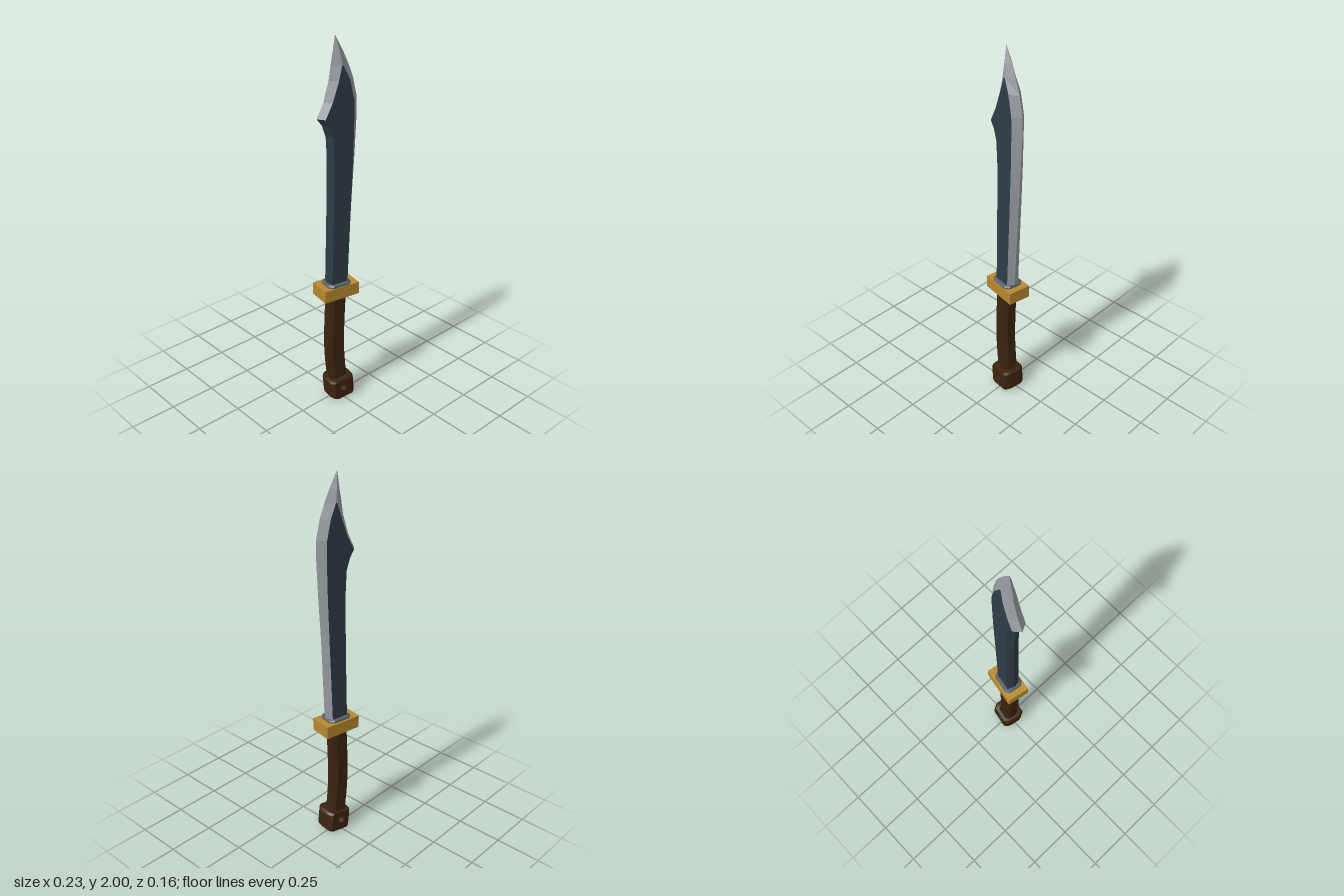
import * as THREE from 'three';
import { toCreasedNormals } from 'three/addons/utils/BufferGeometryUtils.js';

const mat = (name, color) => Object.assign(new THREE.MeshStandardMaterial({ color }), { name });

// Skins a stack of rings (bottom to top, turning from +x to +z) into one closed solid.
// pick(ring, side) returns the material index of each strip.
function loft(rings, pick = () => 0) {
  const buckets = [[], []];
  const n = rings[0].length;
  const tri = (m, ...pts) => pts.forEach((p) => buckets[m].push(...p));
  for (let i = 0; i < rings.length - 1; i++) {
    for (let j = 0; j < n; j++) {
      const k = (j + 1) % n;
      const a = rings[i][j], b = rings[i][k], c = rings[i + 1][k], d = rings[i + 1][j];
      tri(pick(i, j), a, d, c);
      tri(pick(i, j), a, c, b);
    }
  }
  const top = rings[rings.length - 1];
  for (let j = 1; j < n - 1; j++) {
    tri(0, rings[0][0], rings[0][j], rings[0][j + 1]);
    tri(0, top[0], top[j + 1], top[j]);
  }
  const geo = new THREE.BufferGeometry();
  geo.setAttribute('position', new THREE.Float32BufferAttribute(buckets.flat(), 3));
  geo.addGroup(0, buckets[0].length / 3, 0);
  geo.addGroup(buckets[0].length / 3, buckets[1].length / 3, 1);
  geo.computeVertexNormals();
  return geo;
}

// Rectangle with cut corners, as a horizontal ring
function cutRect(cx, y, w, d, cut) {
  return [[w, d - cut], [w - cut, d], [cut - w, d], [-w, d - cut],
    [-w, cut - d], [cut - w, -d], [w - cut, -d], [w, cut - d]].map(([x, z]) => [cx + x, y, z]);
}

export function createModel() {
  const darkSteel = mat('dark steel', 0x2f3c46);
  const brightSteel = mat('bright steel', 0x989da3);
  const collarSteel = mat('collar steel', 0x566069);
  const brass = mat('brass', 0xb8892f);
  const wood = mat('dark wood', 0x3c230f);

  const sword = new THREE.Group();
  sword.name = 'sword';
  const add = (name, geo, material) => {
    const mesh = new THREE.Mesh(geo, material);
    mesh.name = name;
    sword.add(mesh);
    return mesh;
  };

  // Blade: height, spine, face start, face end, cutting edge, half thickness
  const stations = [
    [0.69, -0.06, -0.05, 0.042, 0.06, 0.036],
    [1.0, -0.056, -0.042, 0.055, 0.077, 0.036],
    [1.2, -0.054, -0.038, 0.064, 0.09, 0.036],
    [1.4, -0.055, -0.036, 0.072, 0.103, 0.036],
    [1.52, -0.064, -0.042, 0.075, 0.109, 0.036],
    [1.58, -0.085, -0.062, 0.076, 0.112, 0.036],
    [1.615, -0.113, -0.085, 0.077, 0.113, 0.036],
    [1.69, -0.076, -0.046, 0.075, 0.113, 0.036],
    [1.79, -0.046, -0.01, 0.052, 0.09, 0.035],
    [1.86, -0.035, 0.01, 0.018, 0.063, 0.03],
    [1.92, -0.024, 0.003, 0.006, 0.035, 0.02],
    [2.0, -0.011, -0.01, -0.01, -0.009, 0.001],
  ];
  const bladeRings = stations.map(([y, spine, f0, f1, edge, h]) => [
    [edge, y, 0], [f1, y, h], [f0, y, h], [spine, y, 0], [f0, y, -h], [f1, y, -h],
  ]);
  // Edge bevels are bright; the spine turns bright above the barb, the faces near the tip
  const bladeColour = (i, j) => {
    if (j === 0 || j === 5) return 1;
    if (j === 1 || j === 4) return i >= 9 ? 1 : 0;
    return i >= 6 ? 1 : 0;
  };
  add('blade', loft(bladeRings, bladeColour), [darkSteel, brightSteel]);

  // Collar and guard
  add('collar', loft([
    cutRect(-0.004, 0.69, 0.068, 0.054, 0.02),
    cutRect(-0.004, 0.71, 0.068, 0.054, 0.02),
    cutRect(-0.004, 0.717, 0.062, 0.048, 0.018),
  ]), collarSteel);
  const guard = add('guard', new THREE.BoxGeometry(0.206, 0.068, 0.124), brass);
  guard.position.set(-0.003, 0.669, -0.003);

  // Curved grip
  const bend = new THREE.SplineCurve([[0.002, 0.1], [-0.01, 0.2], [-0.018, 0.34], [-0.014, 0.5], [-0.007, 0.65]]
    .map(([x, y]) => new THREE.Vector2(x, y)));
  const gripRings = bend.getPoints(14).map((p) => cutRect(p.x, p.y, 0.049, 0.041, 0.018));
  add('grip', toCreasedNormals(loft(gripRings), 0.5), wood);

  // Pommel: block with a lanyard hole, narrowed towards front and back
  const W = 0.074, H = 0.06, D = 0.0635, c = 0.012;
  const outline = new THREE.Shape([[-W + c, -H], [W - c, -H], [W, -H + c], [W, H - c],
    [W - c, H], [-W + c, H], [-W, H - c], [-W, -H + c]].map(([x, y]) => new THREE.Vector2(x, y)));
  outline.holes.push(new THREE.Path().absarc(-0.004, 0.004, 0.02, 0, Math.PI * 2, true));
  const block = new THREE.ExtrudeGeometry(outline, { depth: 2 * D, steps: 8, bevelEnabled: false, curveSegments: 14 });
  block.translate(0, 0, -D);
  const pos = block.attributes.position;
  for (let i = 0; i < pos.count; i++) {
    if (Math.hypot(pos.getX(i), pos.getY(i)) < 0.03) continue;
    const t = Math.abs(pos.getZ(i)) / D;
    pos.setX(i, pos.getX(i) * (1 - 0.25 * t ** 4));
    pos.setY(i, pos.getY(i) * (1 - 0.06 * t ** 4));
  }
  const pommel = add('pommel', toCreasedNormals(block, 0.6), wood);
  pommel.position.set(0.006, 0.066, 0.006);
  pommel.rotation.z = 0.09;

  sword.rotation.y = -0.175;
  const model = new THREE.Group();
  model.name = 'model';
  model.add(sword);
  return model;
}
